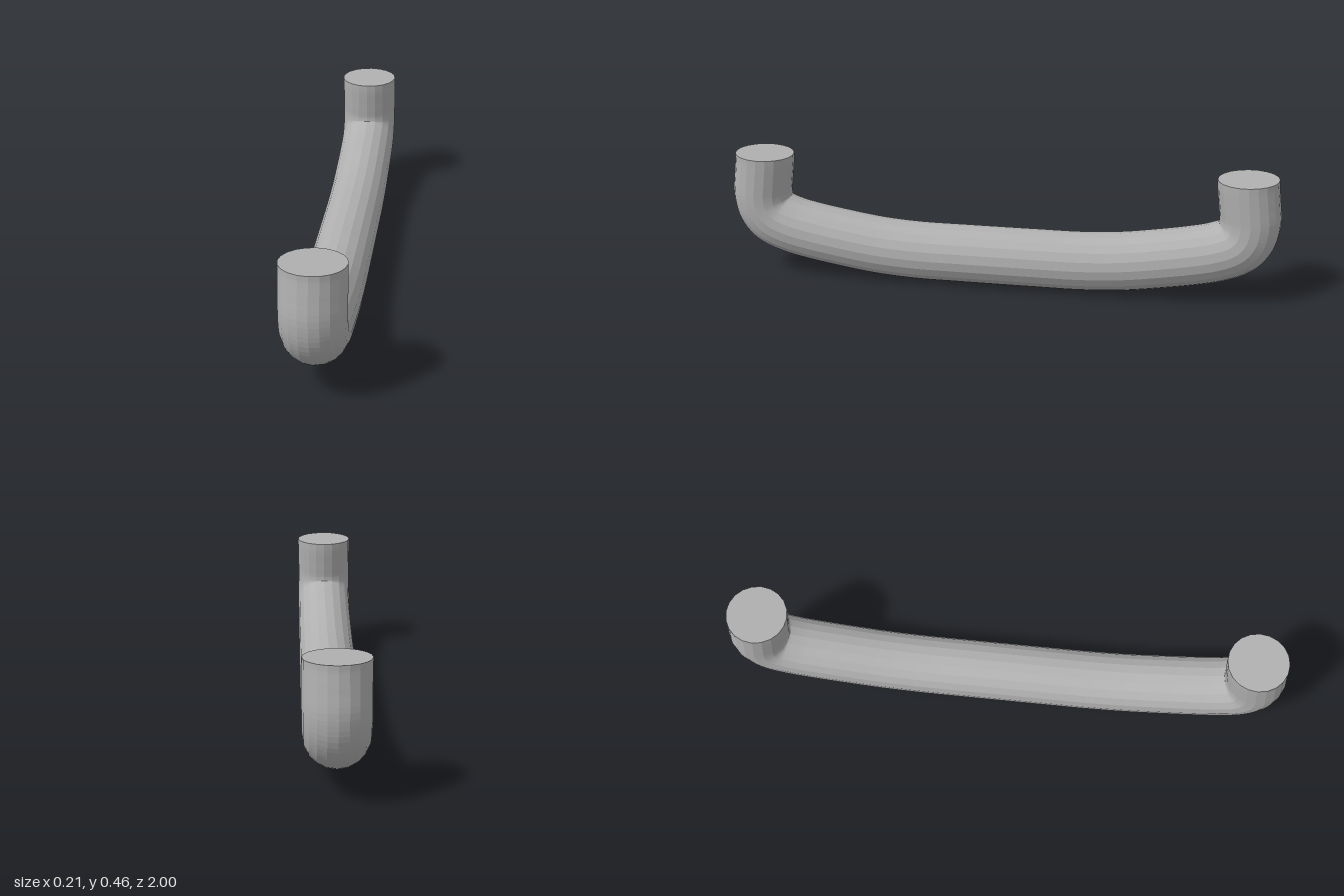
import * as THREE from 'three';

const RADIUS = 0.107;
const SIDES = 20;

// Half of the handle's centre line, as [z, y], from the foot to the middle
const HALF = [
  [0.878, 0.455], [0.879, 0.43], [0.887, 0.365], [0.893, 0.3], [0.882, 0.248], [0.849, 0.207],
  [0.78, 0.177], [0.7, 0.158], [0.6, 0.14], [0.45, 0.118], [0.3, 0.108], [0.15, 0.107],
];

// Sweeps a 20-sided ring along a curve lying in the plane x = 0
function sweep(curve, steps) {
  const positions = [];
  const indices = [];
  for (let i = 0; i <= steps; i++) {
    const p = curve.getPoint(i / steps);
    const t = curve.getTangent(i / steps);
    for (let j = 0; j < SIDES; j++) {
      const a = (j / SIDES) * Math.PI * 2;
      const s = Math.cos(a) * RADIUS;
      positions.push(Math.sin(a) * RADIUS, p.y - t.z * s, p.z + t.y * s);
      if (i === steps) continue;
      const k = (j + 1) % SIDES;
      const [b, c, d, e] = [i * SIDES + j, i * SIDES + k, (i + 1) * SIDES + j, (i + 1) * SIDES + k];
      indices.push(b, c, d, c, e, d);
    }
  }
  // Flat end faces
  const last = steps * SIDES;
  for (let j = 1; j < SIDES - 1; j++) {
    indices.push(0, j + 1, j, last, last + j, last + j + 1);
  }
  const geometry = new THREE.BufferGeometry();
  geometry.setAttribute('position', new THREE.Float32BufferAttribute(positions, 3));
  geometry.setIndex(indices);
  geometry.computeVertexNormals();
  return geometry;
}

export function createModel() {
  const group = new THREE.Group();
  group.name = 'pullHandle';

  const metal = new THREE.MeshStandardMaterial({ color: 0xb0b0b0, flatShading: true });
  metal.name = 'grey metal';

  // Mirror the half path to run from the back foot to the front foot
  const back = HALF.map(([z, y]) => new THREE.Vector3(0, y, -z));
  const front = HALF.map(([z, y]) => new THREE.Vector3(0, y, z)).reverse();
  const path = new THREE.CatmullRomCurve3([...back, ...front], false, 'centripetal');

  const bar = new THREE.Mesh(sweep(path, 115), metal);
  bar.name = 'handleBar';
  group.add(bar);
  return group;
}
